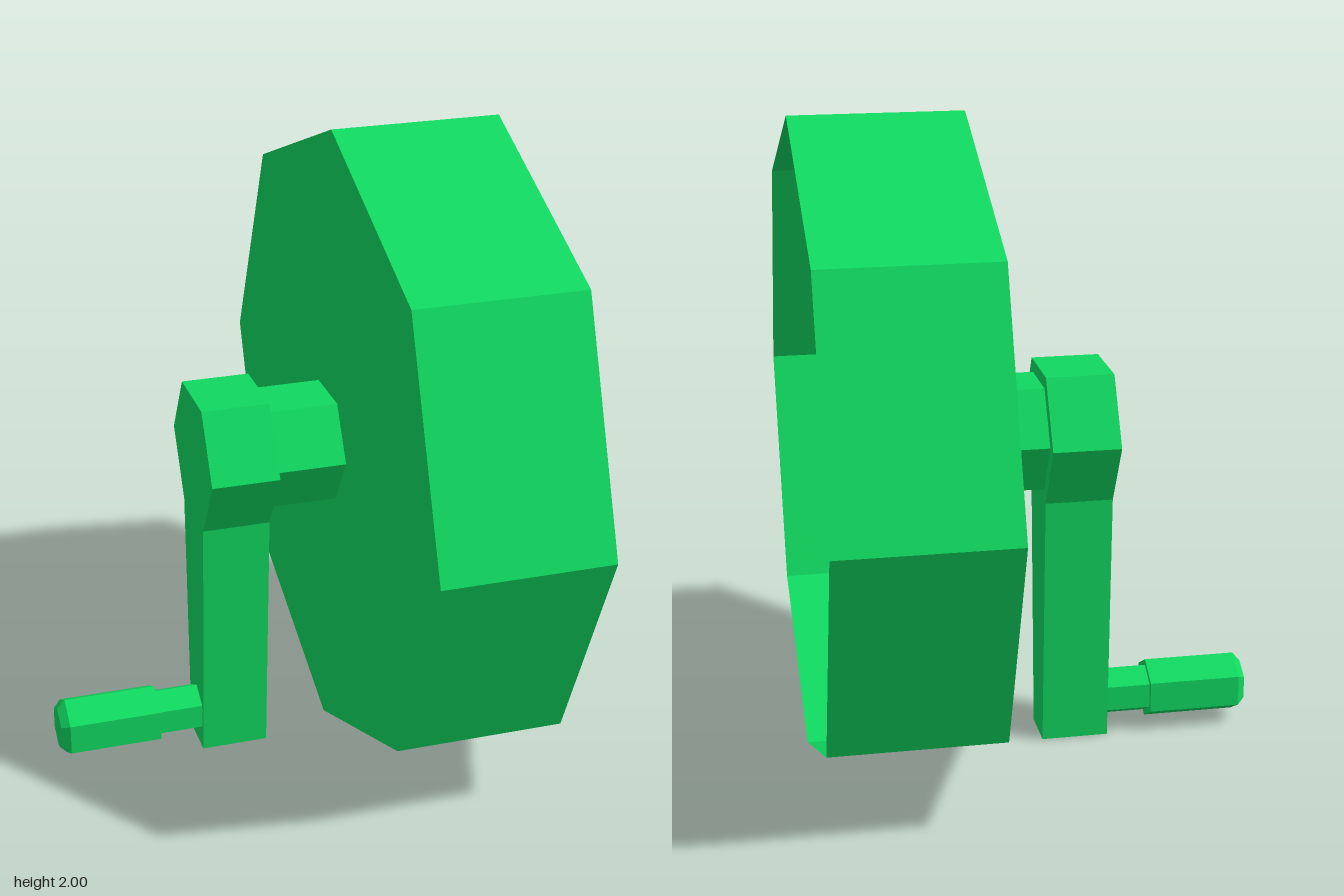
import * as THREE from 'three';

const AXLE_Y = 1.01;
const HANDLE_Y = 0.118;

export function createModel() {
  const model = new THREE.Group();
  const material = new THREE.MeshStandardMaterial({
    color: 0x10d860, flatShading: true, side: THREE.DoubleSide,
  });

  const add = (name, geometry, x, y) => {
    const mesh = new THREE.Mesh(geometry, material);
    mesh.name = name;
    mesh.position.set(x, y, 0);
    model.add(mesh);
  };

  // Prism lying along x, from x0 to x1 with a radius at each end
  const prism = (name, x0, x1, r0, r1, y, sides, open, start = 0) => {
    const g = new THREE.CylinderGeometry(r0, r1, x1 - x0, sides, 1, open, start);
    add(name, g.rotateZ(Math.PI / 2), (x0 + x1) / 2, y);
  };

  // Open octagonal drum: thin rim and a disc closing its inner side
  prism('drumRim', 0.18, 0.7, 0.99, 0.99, AXLE_Y, 8, true);
  add('drumDisc', new THREE.CircleGeometry(0.99, 8).rotateY(-Math.PI / 2), 0.18, AXLE_Y);

  // Hexagonal axle tube, poking slightly through the disc
  prism('axle', -0.04, 0.24, 0.185, 0.185, AXLE_Y, 6, true);

  // Crank arm: hexagonal head tapering down to the handle end
  const half = [[0.115, 1.21], [0.23, 1.01], [0.115, 0.81], [0.075, 0]];
  const outline = [
    ...half,
    ...half.map(([z, y]) => [-z, y]).reverse(),
  ].map(([z, y]) => new THREE.Vector2(z, y));
  const arm = new THREE.ExtrudeGeometry(new THREE.Shape(outline), { depth: 0.21, bevelEnabled: false });
  add('crankArm', arm.rotateY(Math.PI / 2), -0.25, 0);

  // Handle: thin stem, wider grip and a chamfered tip, in one hexagonal lathe
  const profile = [[0.078, 0], [0.078, 0.14], [0.0975, 0.14], [0.0975, 0.43], [0.07, 0.455], [0, 0.455]]
    .map(([r, d]) => new THREE.Vector2(r, d));
  const handle = new THREE.LatheGeometry(profile, 6, Math.PI / 2).toNonIndexed();
  handle.computeVertexNormals();
  add('handle', handle.rotateZ(Math.PI / 2), -0.25, HANDLE_Y);

  return model;
}
